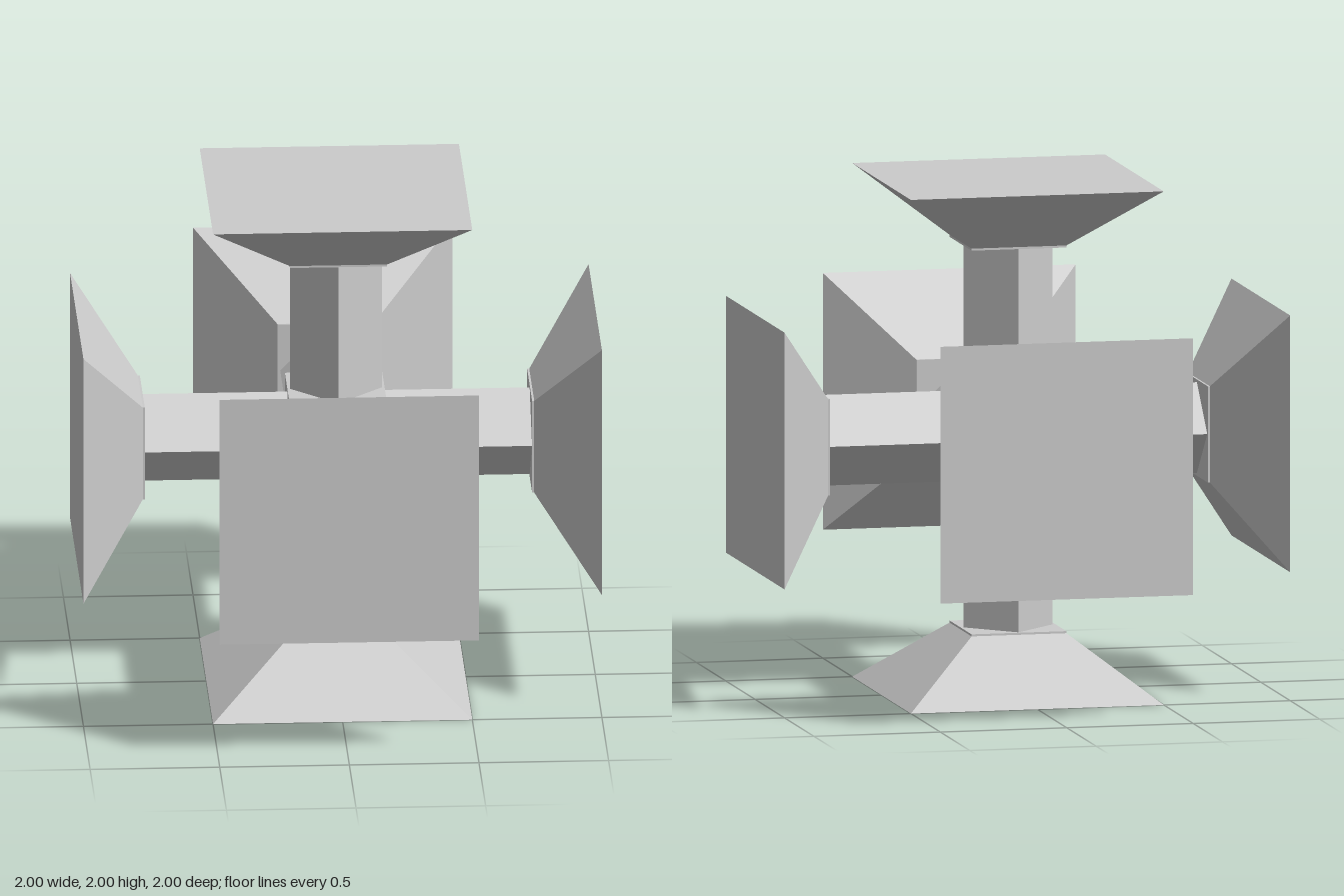
import * as THREE from 'three';

const HUB = 0.375;      // side of the central cube
const ARM = 0.25;       // side of each square arm
const NECK = 0.755;     // distance from the centre where a plate starts to flare

const material = new THREE.MeshStandardMaterial({ color: 0xcccccc, flatShading: true });

function part(name, geometry) {
  const mesh = new THREE.Mesh(geometry, material);
  mesh.name = name;
  return mesh;
}

// One spoke pointing along +y: diamond-set arm, thin collar and flared plate
function createSpoke() {
  const spoke = new THREE.Group();

  const arm = part('arm', new THREE.BoxGeometry(ARM, NECK, ARM));
  arm.position.y = NECK / 2;
  arm.rotation.y = Math.PI / 4;

  const collar = part('collar', new THREE.BoxGeometry(HUB, 0.008, HUB));
  collar.position.y = NECK - 0.004;

  // Square frustum: a four-sided cylinder turned so its sides face the axes
  const depth = 1 - NECK;
  const plate = part('flaredPlate',
    new THREE.CylinderGeometry(Math.SQRT1_2, HUB * Math.SQRT1_2, depth, 4).rotateY(Math.PI / 4));
  plate.position.y = NECK + depth / 2;

  spoke.add(arm, collar, plate);
  return spoke;
}

export function createModel() {
  const model = new THREE.Group();
  model.name = 'sixArmedCube';

  const hub = part('hub', new THREE.BoxGeometry(HUB, HUB, HUB));
  hub.position.y = 1;
  model.add(hub);

  // Six spokes, one per cube face
  const turns = {
    topSpoke: [0, 0],
    bottomSpoke: [Math.PI, 0],
    frontSpoke: [Math.PI / 2, 0],
    backSpoke: [-Math.PI / 2, 0],
    leftSpoke: [0, -Math.PI / 2],
    rightSpoke: [0, Math.PI / 2],
  };
  for (const [name, [rx, rz]] of Object.entries(turns)) {
    const spoke = createSpoke();
    spoke.name = name;
    spoke.rotation.set(rx, 0, rz);
    spoke.position.y = 1;
    model.add(spoke);
  }
  return model;
}
